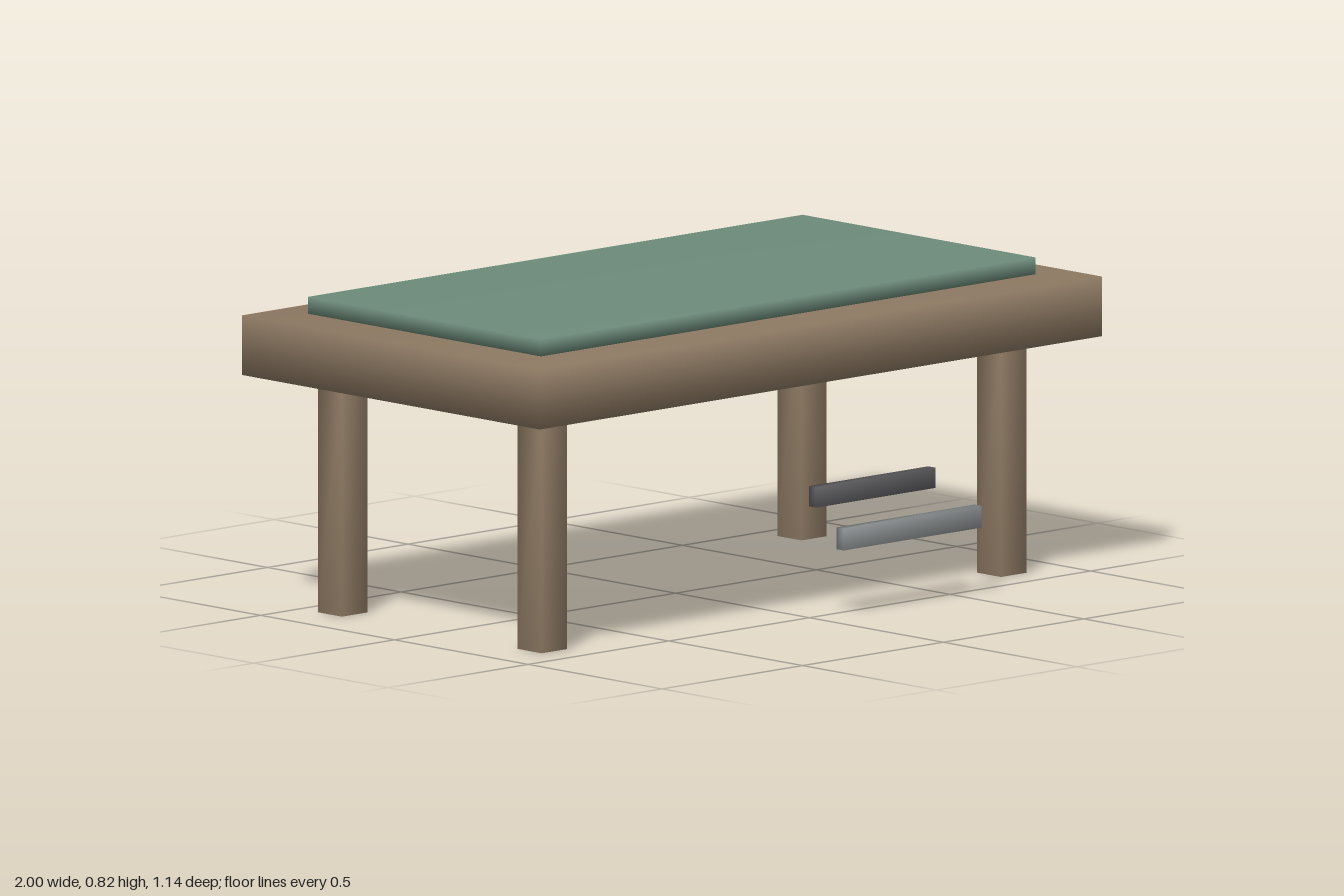
import * as THREE from 'three';
import { mergeVertices } from 'three/addons/utils/BufferGeometryUtils.js';

const material = (color) => new THREE.MeshStandardMaterial({ color });

// Box between two corners, with shared corners so the shading runs smoothly round the edges
function softBox(name, [x0, y0, z0], [x1, y1, z1], mat) {
  let geometry = new THREE.BoxGeometry(x1 - x0, y1 - y0, z1 - z0);
  geometry.deleteAttribute('normal');
  geometry.deleteAttribute('uv');
  geometry = mergeVertices(geometry);
  geometry.computeVertexNormals();
  const mesh = new THREE.Mesh(geometry, mat);
  mesh.name = name;
  mesh.position.set((x0 + x1) / 2, (y0 + y1) / 2, (z0 + z1) / 2);
  return mesh;
}

export function createModel() {
  const group = new THREE.Group();
  group.name = 'table';
  const wood = material(0x8c7862);

  // Table top and the raised green mat
  group.add(softBox('tableTop', [-1, 0.62, -0.57], [1, 0.776, 0.543], wood));
  group.add(softBox('greenMat', [-0.88, 0.781, -0.45], [0.88, 0.825, 0.421], material(0x6c8a7a)));

  // Four square legs
  const legs = new THREE.Group();
  legs.name = 'legs';
  const half = 0.045;
  for (const [end, z] of [['front', 0.36], ['back', -0.386]]) {
    for (const [side, x] of [['Left', 0.817], ['Right', -0.817]]) {
      legs.add(softBox(`${end}${side}Leg`, [x - half, 0, z - half], [x + half, 0.62, z + half], wood));
    }
  }
  group.add(legs);

  // Two loose bars in front, below the table edge
  group.add(softBox('darkBar', [-0.042, 0.302, 0.543], [0.382, 0.355, 0.57], material(0x5c5c60)));
  group.add(softBox('lightBar', [0.055, 0.178, 0.543], [0.546, 0.235, 0.57], material(0x8c9092)));

  return group;
}
